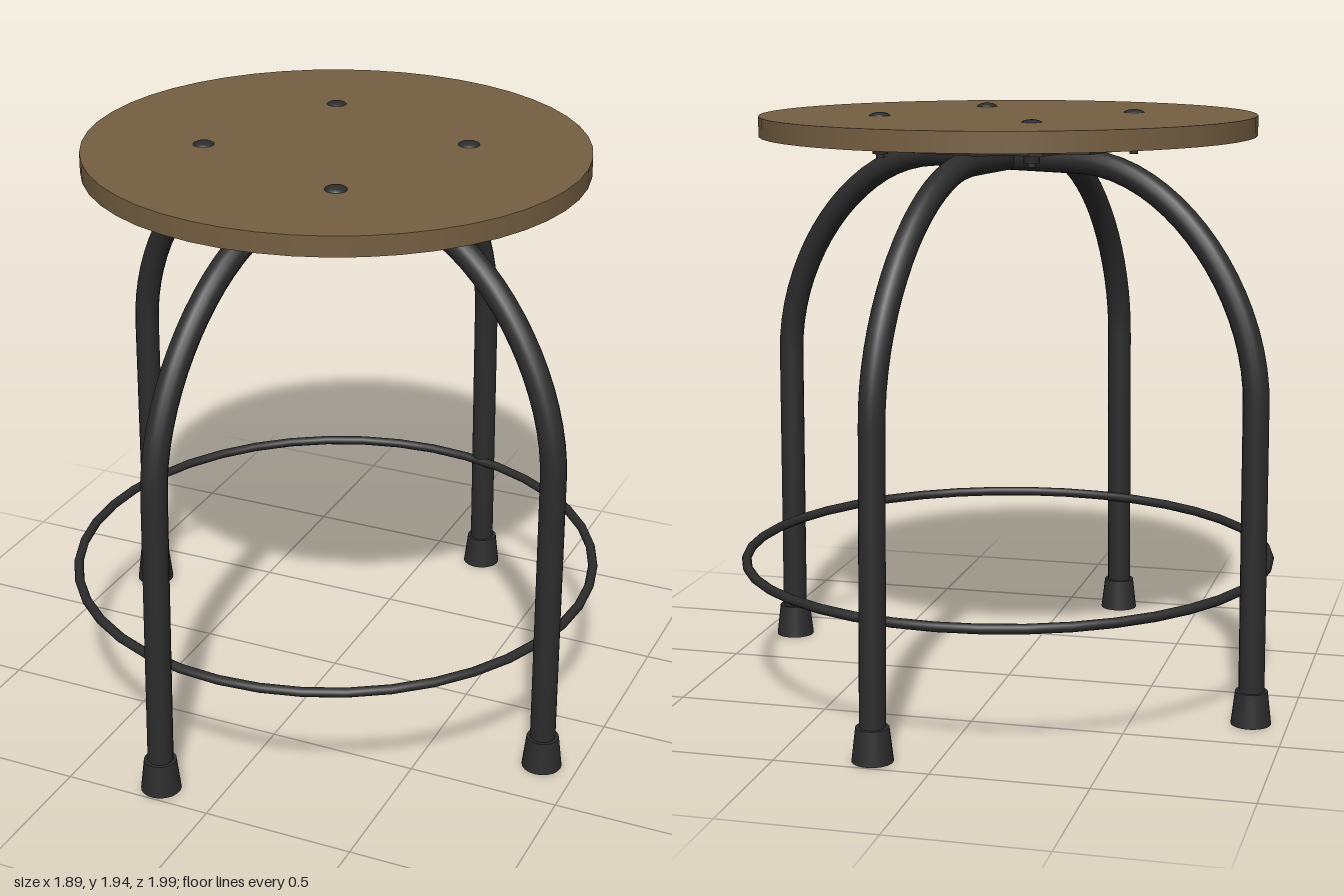
import * as THREE from 'three';

const wood = new THREE.MeshStandardMaterial({ name: 'brown wood', color: 0x755f42 });
const metal = new THREE.MeshStandardMaterial({ name: 'black metal', color: 0x2c2c2c });
const tubeMetal = new THREE.MeshStandardMaterial({ name: 'black tube metal', color: 0x2c2c2c, side: THREE.DoubleSide });

function add(parent, name, geometry, material, x = 0, y = 0, z = 0) {
  const mesh = new THREE.Mesh(geometry, material);
  mesh.name = name;
  mesh.position.set(x, y, z);
  parent.add(mesh);
  return mesh;
}

// One bent tube forming two opposite legs, in the local xy plane
function legArch(name, footRadius, kneeRadius, angle) {
  const arch = new THREE.Group();
  arch.name = name;
  arch.rotation.y = -angle;
  const v = (x, y) => new THREE.Vector3(x, y, 0);
  const top = 1.785, knee = 1.05, flat = 0.27;
  const path = new THREE.CurvePath();
  path.add(new THREE.LineCurve3(v(-footRadius, 0.04), v(-kneeRadius, knee)));
  path.add(new THREE.CubicBezierCurve3(v(-kneeRadius, knee), v(-kneeRadius, 1.4), v(-0.62, top), v(-flat, top)));
  path.add(new THREE.LineCurve3(v(-flat, top), v(flat, top)));
  path.add(new THREE.CubicBezierCurve3(v(flat, top), v(0.62, top), v(kneeRadius, 1.4), v(kneeRadius, knee)));
  path.add(new THREE.LineCurve3(v(kneeRadius, knee), v(footRadius, 0.04)));
  add(arch, 'legTube', new THREE.TubeGeometry(path, 80, 0.042, 16), tubeMetal);
  for (const side of [-1, 1]) {
    add(arch, 'footCap', new THREE.CylinderGeometry(0.053, 0.066, 0.11, 20), metal, side * footRadius, 0.055, 0);
  }
  return arch;
}

// Square plate with a wide tab on each side and clipped corners
function plateGeometry() {
  const half = 0.365, tab = 0.45, tabHalf = 0.2, clip = 0.03;
  const shape = new THREE.Shape();
  for (let i = 0; i < 4; i++) {
    const c = Math.cos(i * Math.PI / 2), s = Math.sin(i * Math.PI / 2);
    const side = [[half, -half + clip], [half, -tabHalf - 0.04], [tab, -tabHalf],
      [tab, tabHalf], [half, tabHalf + 0.04], [half, half - clip]];
    side.forEach(([x, y], j) => {
      const px = x * c - y * s, py = x * s + y * c;
      if (i + j === 0) shape.moveTo(px, py);
      else shape.lineTo(px, py);
    });
  }
  return new THREE.ExtrudeGeometry(shape, { depth: 0.018, bevelEnabled: false }).rotateX(-Math.PI / 2);
}

export function createModel() {
  const stool = new THREE.Group();
  stool.name = 'stool';

  // Round seat, very slightly tilted
  const seat = add(stool, 'seat', new THREE.CylinderGeometry(0.818, 0.818, 0.066, 48), wood, 0, 1.894, -0.01);
  seat.rotation.set(0.004, 0, -0.003);

  // Crossing leg arches with rubber-style caps
  stool.add(legArch('sideLegs', 0.93, 0.925, 0.325));
  stool.add(legArch('frontBackLegs', 0.95, 0.932, 1.783));

  // Foot ring
  const ring = add(stool, 'footRing', new THREE.TorusGeometry(0.885, 0.016, 10, 40).rotateX(Math.PI / 2), metal, 0, 0.44, -0.01);
  ring.scale.z = 1.025;

  // Mounting plate with four bolts through the seat
  const mount = new THREE.Group();
  mount.name = 'seatMount';
  mount.position.z = -0.01;
  mount.rotation.y = -0.366;
  stool.add(mount);
  add(mount, 'mountingPlate', plateGeometry(), metal, 0, 1.828, 0);
  for (const x of [-0.3, 0.3]) {
    for (const z of [-0.3, 0.3]) {
      add(mount, 'boltShank', new THREE.CylinderGeometry(0.014, 0.014, 0.12, 10), metal, x, 1.85, z);
      add(mount, 'boltNut', new THREE.CylinderGeometry(0.026, 0.026, 0.025, 6), metal, x, 1.815, z);
      const head = add(mount, 'boltHead', new THREE.SphereGeometry(0.036, 16, 6, 0, Math.PI * 2, 0, Math.PI / 2), metal, x, 1.924, z);
      head.scale.y = 0.4;
    }
  }
  return stool;
}
